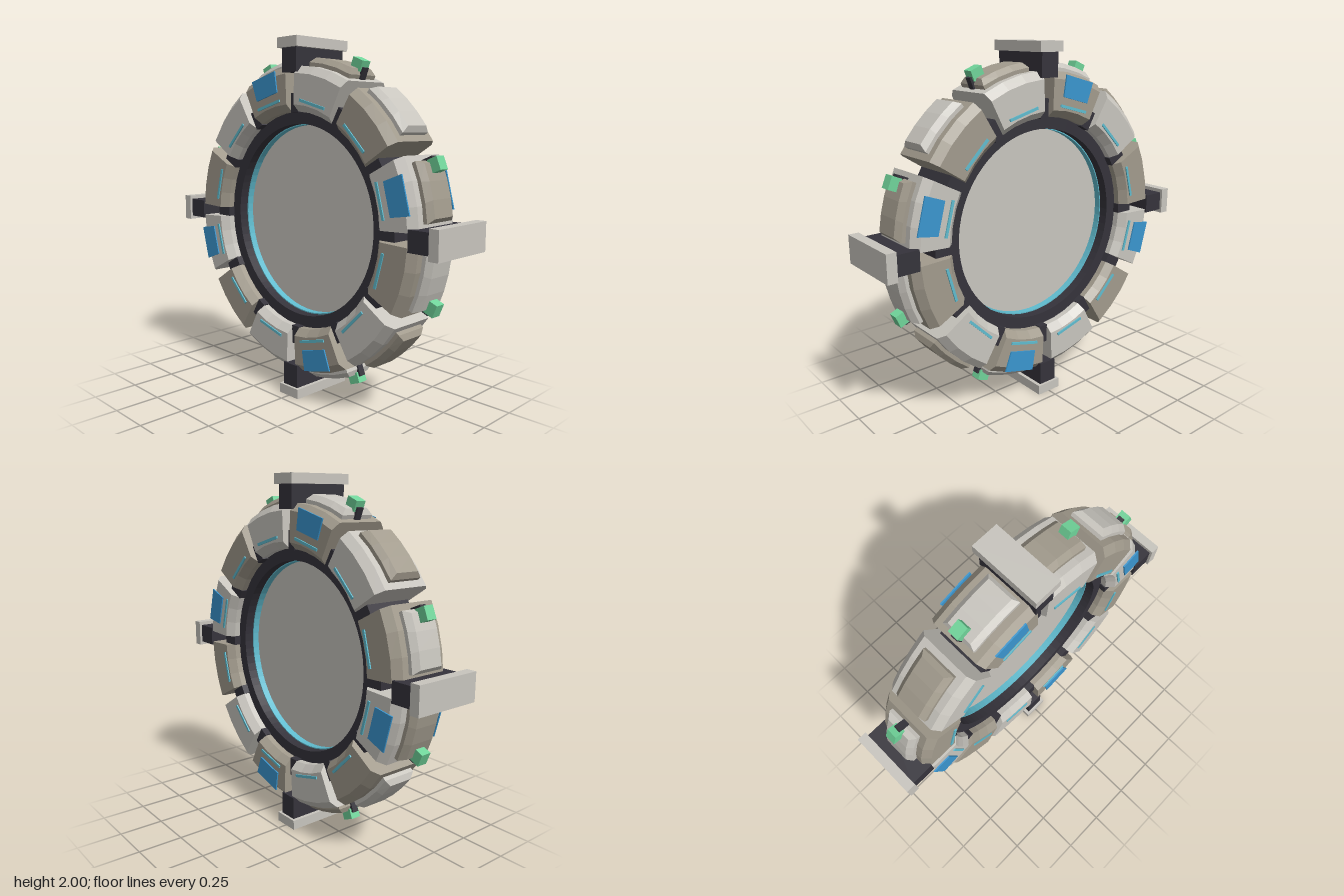
import * as THREE from 'three';
import { toCreasedNormals } from 'three/addons/utils/BufferGeometryUtils.js';

const mat = (name, color, flatShading = true) =>
  Object.assign(new THREE.MeshStandardMaterial({ color, flatShading }), { name });

// Arc block centred on +x. half: [radius, z, halfAngle in degrees] from inside to outside, mirrored in z.
function arcBlock(half, steps) {
  const loop = [...half, ...half.map(([r, z, a]) => [r, -z, a]).reverse()];
  const n = loop.length, pos = [];
  const point = (i, t) => {
    const [r, z, a] = loop[i % n];
    const ang = THREE.MathUtils.degToRad(a) * t;
    return [r * Math.cos(ang), r * Math.sin(ang), z];
  };
  const quad = (a, b, c, d) => pos.push(...a, ...b, ...c, ...a, ...c, ...d);
  for (let s = 0; s < steps; s++) {
    const t0 = -1 + 2 * s / steps, t1 = -1 + 2 * (s + 1) / steps;
    for (let i = 0; i < n; i++) quad(point(i, t0), point(i + 1, t0), point(i + 1, t1), point(i, t1));
  }
  for (let i = 0; i < half.length - 1; i++) {
    const j = n - 1 - i;
    quad(point(j, 1), point(i, 1), point(i + 1, 1), point(j - 1, 1));
    quad(point(j - 1, -1), point(i + 1, -1), point(i, -1), point(j, -1));
  }
  const g = new THREE.BufferGeometry();
  g.setAttribute('position', new THREE.Float32BufferAttribute(pos, 3));
  g.computeVertexNormals();
  return g;
}

// Closed band around the z axis with a rectangular section
function hoop(inner, outer, halfDepth) {
  const p = [[inner, -halfDepth], [outer, -halfDepth], [outer, halfDepth], [inner, halfDepth], [inner, -halfDepth]];
  const g = new THREE.LatheGeometry(p.map(([r, y]) => new THREE.Vector2(r, y)), 72);
  return toCreasedNormals(g.rotateX(Math.PI / 2), 0.6);
}

// Box given by its radial range, tangential width and depth
const radialBox = (r0, r1, width, depth) =>
  new THREE.BoxGeometry(r1 - r0, width, depth).translate((r0 + r1) / 2, 0, 0);

export function createModel() {
  const light = mat('light hull', 0xc8c5be);
  const tan = mat('tan hull', 0xa29b8d);
  const dark = mat('dark frame', 0x35333b);
  const blue = mat('blue panel', 0x3a96cf);
  const cyan = mat('cyan glow', 0x60bccf);
  const green = mat('green beacon', 0x70d49a);

  const model = new THREE.Group();
  model.name = 'ringStation';
  const ring = new THREE.Group();
  ring.name = 'ring';
  ring.position.y = 1;
  model.add(ring);

  const add = (parent, name, geometry, material, z = 0) => {
    const m = new THREE.Mesh(geometry, material);
    m.name = name;
    m.position.z = z;
    parent.add(m);
    return m;
  };
  const spoke = (name, degrees) => {
    const g = new THREE.Group();
    g.name = name;
    g.rotation.z = THREE.MathUtils.degToRad(degrees);
    ring.add(g);
    return g;
  };

  // Central disc, glowing inner band and inner frame
  const disc = new THREE.CylinderGeometry(0.536, 0.536, 0.012, 72).rotateX(Math.PI / 2);
  add(ring, 'centreDisc', disc, light);
  add(ring, 'glowBand', hoop(0.534, 0.545, 0.045), cyan);
  add(ring, 'innerFrame', hoop(0.54, 0.625, 0.1), dark);

  // Twelve hull segments with contrasting outer plates
  const hull = arcBlock([[0.607, 0.135, 12.5], [0.645, 0.175, 12.5], [0.81, 0.175, 12.5], [0.85, 0.138, 12.5]], 3);
  const plate = arcBlock([[0.82, 0.1, 10], [0.87, 0.1, 10], [0.897, 0.072, 8.6]], 3);
  const panel = arcBlock([[0.717, 0.004, 7.1], [0.834, 0.004, 6.9]], 1);
  const strip = radialBox(0.656, 0.671, 0.19, 0.008);
  const rib = radialBox(0.6, 0.705, 0.054, 0.28);
  for (let k = 0; k < 12; k++) {
    const seg = spoke('segment', 15 + 30 * k);
    add(seg, 'hullSegment', hull, k % 2 ? tan : light);
    add(seg, 'outerPlate', plate, k % 2 ? light : tan);
    for (const side of [-1, 1]) {
      add(seg, 'glowStrip', strip, cyan, side * 0.178);
      if (k % 3 === 0) add(seg, 'bluePanel', panel, blue, side * 0.179);
    }
    add(spoke('gap', 30 * k), 'gapRib', rib, dark);
  }

  // Four docking arms with end caps
  const arm = radialBox(0.815, 0.95, 0.11, 0.36);
  const cap = radialBox(0.945, 1, 0.152, 0.39);
  for (let k = 0; k < 4; k++) {
    const dock = spoke('dockingArm', 90 * k);
    add(dock, 'armBlock', arm, dark);
    add(dock, 'armCap', cap, light);
  }

  // Eight beacons, each on a stem set towards the diagonal
  const lamp = radialBox(0.885, 0.943, 0.07, 0.06);
  const stem = radialBox(0.83, 0.91, 0.045, 0.038);
  for (let k = 0; k < 8; k++) {
    const beacon = spoke('beacon', 22.5 + 45 * k);
    add(beacon, 'beaconLamp', lamp, green);
    add(beacon, 'beaconStem', stem, dark).position.y = k % 2 ? -0.025 : 0.025;
  }
  return model;
}
